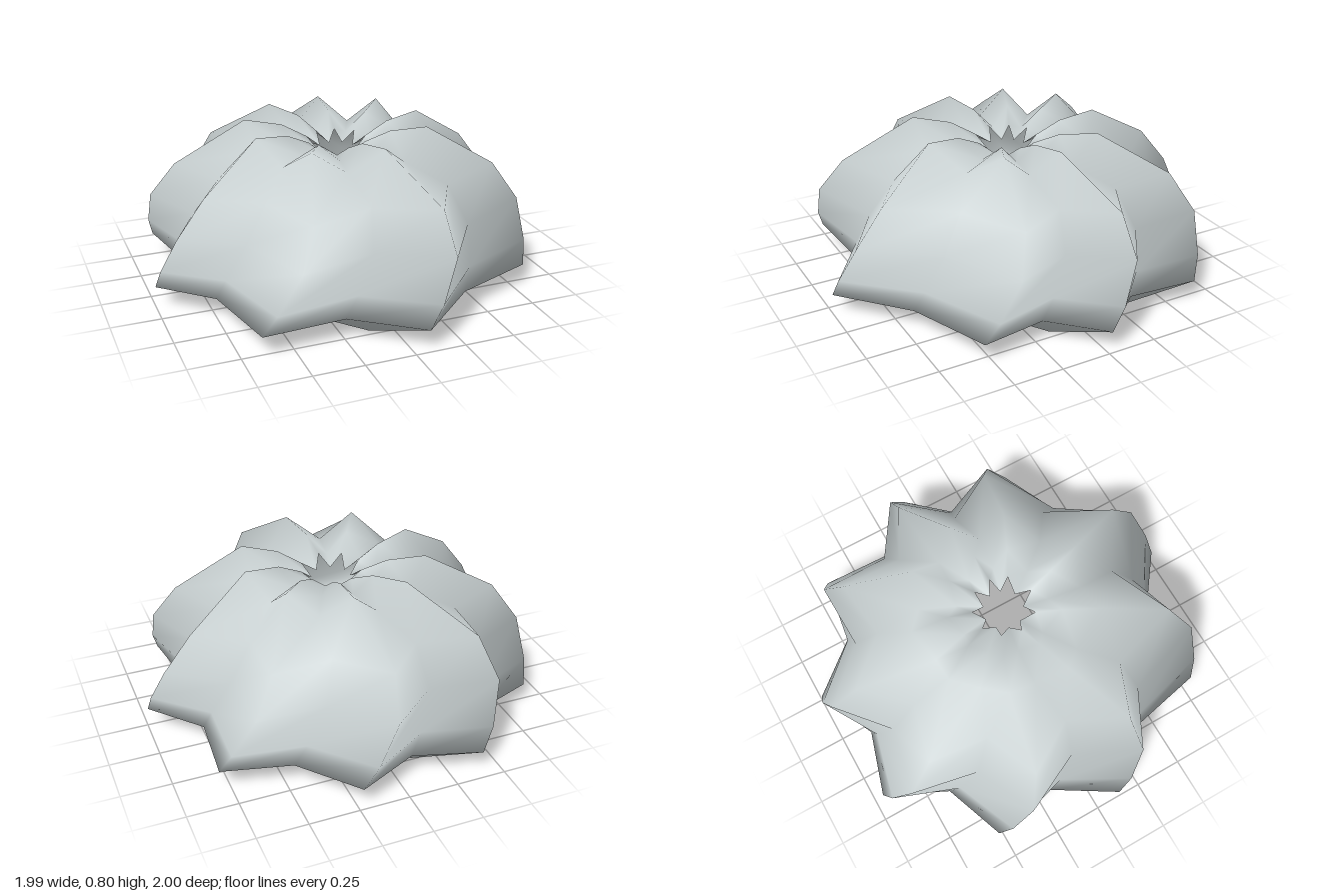
import * as THREE from 'three';

// Ridge and groove of each of the nine lobes: [degrees from +z toward +x, widest radius]
const ridges = [[6, 1.0], [58, 0.975], [93, 0.995], [130, 1.02], [169, 1.02], [205, 1.035], [241, 1.02], [279, 1.005], [322, 1.025]];
const grooves = [[31, 0.81], [76, 0.79], [111, 0.82], [149, 0.85], [187, 0.855], [223, 0.85], [259, 0.83], [297, 0.83], [344, 0.8]];

// Rings from the open base to the top hole:
// [ridge radius, ridge height, groove radius, groove height, twist in degrees]
const rings = [
  [0.725, 0, 0.73, 0, -15],
  [1.0, 0.11, 1.0, 0.11, -2],
  [0.995, 0.22, 0.985, 0.22, 2],
  [0.95, 0.41, 0.91, 0.4, 8],
  [0.815, 0.59, 0.755, 0.575, 10],
  [0.465, 0.8, 0.5, 0.675, 2.5],
  [0.28, 0.775, 0.28, 0.675, -1],
  [0.155, 0.715, 0.12, 0.66, -5],
];

function flutedShell() {
  const n = ridges.length * 2;
  const positions = [];
  const indices = [];
  rings.forEach(([ridgeR, ridgeY, grooveR, grooveY, twist], j) => {
    for (let i = 0; i < n; i++) {
      const isRidge = i % 2 === 0;
      const [deg, radius] = (isRidge ? ridges : grooves)[i >> 1];
      const a = THREE.MathUtils.degToRad(deg + twist);
      const r = radius * (isRidge ? ridgeR : grooveR);
      positions.push(r * Math.sin(a), isRidge ? ridgeY : grooveY, r * Math.cos(a));
      if (j === 0) continue;
      const next = (i + 1) % n;
      const a0 = (j - 1) * n + i, b0 = (j - 1) * n + next;
      const a1 = j * n + i, b1 = j * n + next;
      indices.push(a0, b0, b1, a0, b1, a1);
    }
  });
  const geometry = new THREE.BufferGeometry();
  geometry.setAttribute('position', new THREE.Float32BufferAttribute(positions, 3));
  geometry.setIndex(indices);
  geometry.computeVertexNormals();
  return geometry;
}

export function createModel() {
  const group = new THREE.Group();
  group.name = 'flutedDome';
  const paleGrey = new THREE.MeshStandardMaterial({ color: 0xc8d0d1, side: THREE.DoubleSide });
  paleGrey.name = 'paleGrey';

  // Open, lobed shell with a star-shaped hole at the top and bottom
  const shell = new THREE.Mesh(flutedShell(), paleGrey);
  shell.name = 'flutedShell';
  group.add(shell);
  return group;
}
